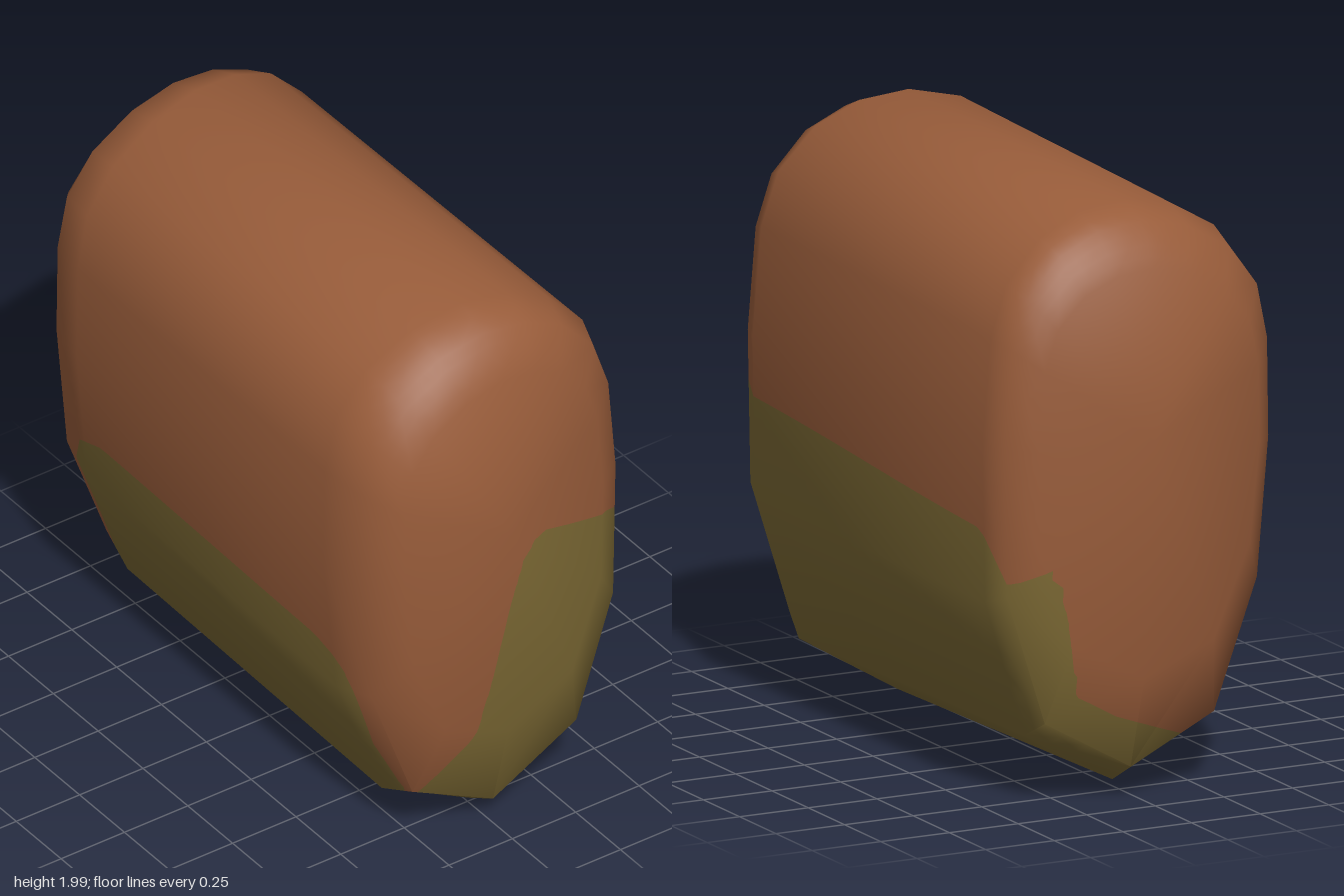
import * as THREE from 'three';
import { toCreasedNormals } from 'three/addons/utils/BufferGeometryUtils.js';

// Side outline as [z, y], from the top over the back and round to the front
const PROFILE = [
  [0.02, 1.99], [-0.15, 1.97], [-0.3, 1.9], [-0.43, 1.76], [-0.49, 1.58], [-0.52, 1.22],
  [-0.51, 0.68], [-0.36, 0.2], [-0.02, 0], [0.31, 0.16], [0.48, 0.63], [0.525, 1.14],
  [0.52, 1.5], [0.48, 1.7], [0.37, 1.85], [0.2, 1.95],
];

// Cross-sections: x, lean of x with z, scale above and below the middle
const RINGS = [
  [-0.955, -0.02, 0.76, 0.67], [-0.865, 0.04, 0.94, 0.94], [-0.74, 0.1, 1, 1], [0, 0, 1, 1],
  [0.74, -0.1, 1, 1], [0.865, -0.04, 0.94, 0.94], [0.955, 0.02, 0.76, 0.67],
];

// Upper edge of the lower colour: [angle round the body in degrees, height]
const EDGE = [
  [-51, 1.02], [-41, 1.09], [-16, 1.16], [-7, 1.13], [0, 0.9], [8, 0.56], [14, 0.4], [27, 0.25],
  [34, 0.19], [44, 0.4], [49.5, 0.66], [52.6, 0.75], [58, 0.785], [90, 0.8], [122, 0.815],
  [128, 0.77], [131, 0.66], [137, 0.4], [145, 0.2], [156, 0.18], [192, 0.29], [207, 0.37],
  [213, 0.82], [226, 0.76], [232, 0.93], [309, 1.02],
];

// Height above the colour edge
function aboveEdge(p) {
  let a = THREE.MathUtils.radToDeg(Math.atan2(p.z / 0.52, p.x));
  if (a < -51) a += 360;
  let i = 0;
  while (i < EDGE.length - 2 && EDGE[i + 1][0] < a) i++;
  const [a0, h0] = EDGE[i], [a1, h1] = EDGE[i + 1];
  return p.y - (h0 + (h1 - h0) * (a - a0) / (a1 - a0));
}

// Lofted cushion-like body with shallow pointed ends
function bodyGeometry() {
  const n = PROFILE.length, pos = [], index = [];
  for (const [x, lean, up, down] of RINGS) {
    const tilt = 1 - 0.0236 * (0.7 - THREE.MathUtils.clamp(x, -0.7, 0.7));
    for (const [z, y] of PROFILE) {
      const s = y > 1.2 ? up : down;
      const zz = z * up;
      pos.push(x + lean * zz, 1 + (1.2 + (y - 1.2) * s - 1) * tilt, zz);
    }
  }
  const last = RINGS.length - 1, endR = n * RINGS.length;
  pos.push(-1, 1.21, 0, 1, 1.21, 0);
  for (let i = 0; i < n; i++) {
    const k = (i + 1) % n;
    for (let j = 0; j < last; j++) {
      const a = j * n + i, b = j * n + k;
      index.push(a, a + n, b, b, a + n, b + n);
    }
    index.push(endR, i, k, endR + 1, last * n + k, last * n + i);
  }
  const g = new THREE.BufferGeometry();
  g.setAttribute('position', new THREE.Float32BufferAttribute(pos, 3));
  g.setIndex(index);
  return toCreasedNormals(g, 0.92);
}

const mix = (a, b, t) => ({ p: a.p.clone().lerp(b.p, t), n: a.n.clone().lerp(b.n, t).normalize() });

// Halve the longest side until the triangle is small enough
function subdivide(tri, size, out) {
  const len = tri.map((v, i) => v.p.distanceTo(tri[(i + 1) % 3].p));
  const m = len.indexOf(Math.max(...len));
  if (len[m] < size) { out.push(tri); return; }
  const a = tri[m], b = tri[(m + 1) % 3], c = tri[(m + 2) % 3], d = mix(a, b, 0.5);
  subdivide([a, d, c], size, out);
  subdivide([d, b, c], size, out);
}

// Keep the part of a triangle on one side of the colour edge
function clip(tri, sign) {
  const poly = [];
  tri.forEach((v, i) => {
    const w = tri[(i + 1) % 3];
    const f = sign * aboveEdge(v.p), g = sign * aboveEdge(w.p);
    if (f >= 0) poly.push(v);
    if (f * g < 0) poly.push(mix(v, w, f / (f - g)));
  });
  return poly;
}

function sideGeometry(tris, sign) {
  const pos = [], nor = [];
  for (const tri of tris) {
    const poly = clip(tri, sign);
    for (let i = 1; i < poly.length - 1; i++) {
      for (const v of [poly[0], poly[i], poly[i + 1]]) {
        pos.push(...v.p.toArray());
        nor.push(...v.n.toArray());
      }
    }
  }
  const g = new THREE.BufferGeometry();
  g.setAttribute('position', new THREE.Float32BufferAttribute(pos, 3));
  g.setAttribute('normal', new THREE.Float32BufferAttribute(nor, 3));
  return g;
}

export function createModel() {
  const group = new THREE.Group();
  group.name = 'cushionBody';
  const brown = new THREE.MeshStandardMaterial({ color: 0x985c3a });
  brown.name = 'brown';
  const olive = new THREE.MeshStandardMaterial({ color: 0x7c6934 });
  olive.name = 'olive';

  const base = bodyGeometry(), P = base.attributes.position, N = base.attributes.normal;
  const tris = [];
  for (let i = 0; i < P.count; i += 3) {
    const tri = [0, 1, 2].map((k) => ({
      p: new THREE.Vector3().fromBufferAttribute(P, i + k),
      n: new THREE.Vector3().fromBufferAttribute(N, i + k),
    }));
    subdivide(tri, 0.07, tris);
  }

  const upper = new THREE.Mesh(sideGeometry(tris, 1), brown);
  upper.name = 'upperBody';
  const lower = new THREE.Mesh(sideGeometry(tris, -1), olive);
  lower.name = 'lowerBody';
  group.add(upper, lower);
  return group;
}
